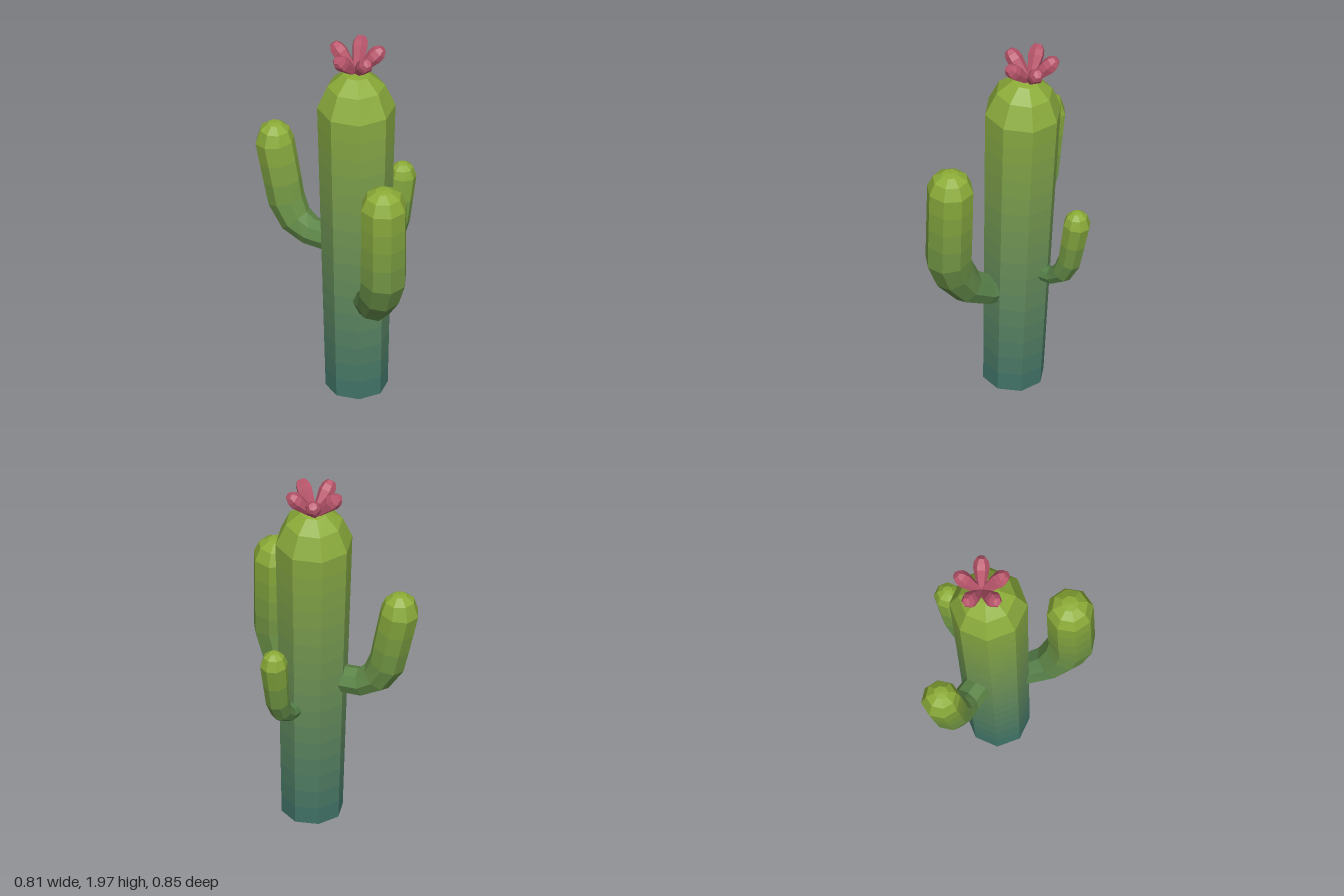
import * as THREE from 'three';

const V = (x, y, z) => new THREE.Vector3(x, y, z);
const GREEN = 0x8eae37;

// Faceted stem through rings [x, y, z, radius], shaded from one colour to another in bands
function stem(name, rings, side, sides, fromColor, toColor) {
  const group = new THREE.Group();
  group.name = name;
  const centres = rings.map(r => V(r[0], r[1], r[2]));
  const last = rings.length - 1;
  const loops = rings.map((r, i) => {
    const t = centres[Math.min(i + 1, last)].clone().sub(centres[Math.max(i - 1, 0)]).normalize();
    const u = side.clone().addScaledVector(t, -side.dot(t)).normalize();
    const v = t.clone().cross(u);
    return Array.from({ length: sides }, (_, k) => {
      const a = k / sides * Math.PI * 2;
      const p = centres[i].clone().addScaledVector(u, Math.cos(a) * r[3]).addScaledVector(v, Math.sin(a) * r[3]);
      p.y = Math.max(0, p.y);
      return p;
    });
  });
  const y0 = centres[0].y, y1 = centres[last].y;
  for (let i = 0; i < last; i++) {
    const pts = [];
    for (let k = 0; k < sides; k++) {
      const n = (k + 1) % sides;
      const a = loops[i][k], b = loops[i][n], c = loops[i + 1][n], d = loops[i + 1][k];
      pts.push(a, b, c, a, c, d);
    }
    const geo = new THREE.BufferGeometry().setFromPoints(pts);
    geo.computeVertexNormals();
    const f = ((centres[i].y + centres[i + 1].y) / 2 - y0) / (y1 - y0);
    const color = new THREE.Color(fromColor).lerp(new THREE.Color(toColor), f);
    const mesh = new THREE.Mesh(geo, new THREE.MeshStandardMaterial({ color, flatShading: true, side: THREE.DoubleSide }));
    mesh.name = name + 'Band';
    group.add(mesh);
  }
  return group;
}

// Split the long straight runs so the colour changes gradually
function subdivide(rings, step) {
  const out = [rings[0]];
  for (let i = 1; i < rings.length; i++) {
    const a = rings[i - 1], b = rings[i];
    const n = Math.max(1, Math.round((b[1] - a[1]) / step));
    for (let j = 1; j <= n; j++) out.push(a.map((q, k) => q + (b[k] - q) * j / n));
  }
  return out;
}

// Rounded end above the last ring of a stem
function withDome(rings, height) {
  const [x, y, z, r] = rings[rings.length - 1];
  return [...rings, [x, y + height * 0.65, z, r * 0.76], [x, y + height * 0.95, z, r * 0.36], [x, y + height, z, 0.001]];
}

export function createModel() {
  const model = new THREE.Group();
  model.name = 'cactus';

  // Trunk, widening upward and leaning slightly back, open underneath
  const trunk = [
    [0.08, 0, -0.055, 0.156], [0.08, 1.0, -0.085, 0.18], [0.082, 1.64, -0.105, 0.197],
    [0.082, 1.76, -0.112, 0.145], [0.084, 1.825, -0.118, 0.07], [0.085, 1.835, -0.12, 0.001],
  ];
  model.add(stem('trunk', subdivide(trunk, 0.1), V(1, 0, 0), 8, 0x3d7168, GREEN));

  // Three upturned arms
  const arms = [
    ['frontArm', 0.1, 0x527a48, [
      [0.11, 0.59, 0.0, 0.075], [0.13, 0.592, 0.09, 0.08], [0.15, 0.65, 0.2, 0.092],
      [0.17, 0.76, 0.275, 0.108], [0.185, 0.87, 0.308, 0.12], [0.188, 1.3, 0.3, 0.12]]],
    ['rightArm', 0.105, 0x5c8548, [
      [-0.04, 0.825, -0.145, 0.072], [-0.14, 0.83, -0.21, 0.075], [-0.21, 0.88, -0.25, 0.085],
      [-0.255, 0.98, -0.285, 0.095], [-0.31, 1.305, -0.33, 0.1]]],
    ['leftArm', 0.075, 0x527d48, [
      [0.17, 0.69, -0.155, 0.042], [0.235, 0.695, -0.215, 0.045], [0.28, 0.74, -0.255, 0.054],
      [0.305, 0.82, -0.285, 0.06], [0.331, 1.065, -0.318, 0.07]]],
  ];
  for (const [name, dome, color, rings] of arms) {
    const a = rings[0], b = rings[rings.length - 1];
    const side = V(b[2] - a[2], 0, a[0] - b[0]).normalize();
    model.add(stem(name, subdivide(withDome(rings, dome), 0.1), side, 8, color, GREEN));
  }

  // Five-petalled flower on the crown
  const flower = new THREE.Group();
  flower.name = 'flower';
  flower.position.set(0.085, 1.815, -0.14);
  const profile = [[0.001, 0], [0.018, 0.005], [0.042, 0.125], [0.038, 0.155], [0.022, 0.178], [0.001, 0.18]];
  const petalGeo = new THREE.LatheGeometry(profile.map(p => new THREE.Vector2(...p)), 6);
  const petalMat = new THREE.MeshStandardMaterial({ color: 0xb8556b, flatShading: true });
  for (let i = 0; i < 5; i++) {
    const a = -0.04 + i * Math.PI * 2 / 5;
    const petal = new THREE.Mesh(petalGeo, petalMat);
    petal.name = 'petal';
    petal.quaternion.setFromUnitVectors(V(0, 1, 0), V(Math.cos(a) * 0.78, 0.82, Math.sin(a) * 0.78).normalize());
    petal.scale.set(1, 1.08, 1);
    flower.add(petal);
  }
  model.add(flower);
  return model;
}
